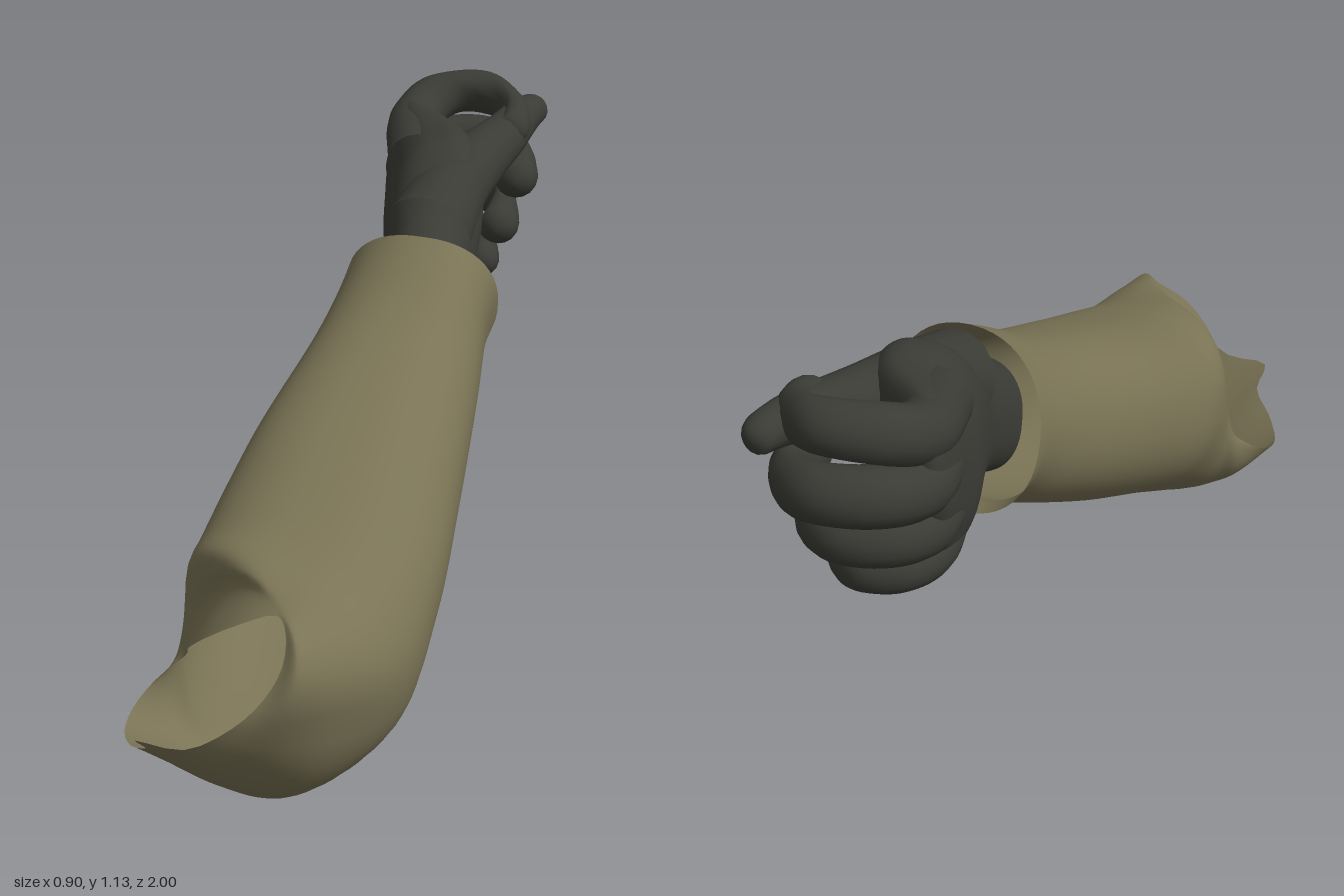
import * as THREE from 'three';
import { mergeVertices } from 'three/addons/utils/BufferGeometryUtils.js';

const V = (p) => new THREE.Vector3(...p);
const AROUND = 48;

// Closed, slightly squared ring through four points: +x side, top, -x side, bottom
function ovalRing(right, top, left, bottom) {
  const [r, t, l, b] = [right, top, left, bottom].map(V);
  const c = r.clone().add(t).add(l).add(b).multiplyScalar(0.25);
  const ring = [];
  for (let j = 0; j < AROUND; j++) {
    const a = (j / AROUND) * Math.PI * 2;
    const cos = Math.cos(a), sin = Math.sin(a);
    const side = (cos >= 0 ? r : l).clone().sub(c).multiplyScalar(Math.abs(cos) ** 0.9);
    const rise = (sin >= 0 ? t : b).clone().sub(c).multiplyScalar(Math.abs(sin) ** 0.9);
    ring.push(c.clone().add(side).add(rise));
  }
  return ring;
}

// Closed free-form ring, starting at the +x side and going over the top
function freeRing(points) {
  const curve = new THREE.CatmullRomCurve3(points.map(V), true);
  return Array.from({ length: AROUND }, (_, j) => curve.getPoint(j / AROUND));
}

// Smooth skin through a row of rings
function loft(rings, steps) {
  const pos = [], index = [];
  const lines = Array.from({ length: AROUND }, (_, j) => new THREE.CatmullRomCurve3(rings.map((r) => r[j])));
  for (let i = 0; i <= steps; i++) {
    for (const line of lines) pos.push(...line.getPoint(i / steps).toArray());
  }
  for (let i = 0; i < steps; i++) {
    for (let j = 0; j < AROUND; j++) {
      const k = (j + 1) % AROUND;
      const a = i * AROUND + j, b = i * AROUND + k;
      index.push(a, a + AROUND, b, b, a + AROUND, b + AROUND);
    }
  }
  const g = new THREE.BufferGeometry();
  g.setAttribute('position', new THREE.Float32BufferAttribute(pos, 3));
  g.setIndex(index);
  g.computeVertexNormals();
  return g;
}

// Curled digit: a tube that tapers and closes in a round tip
function digit(points, radius, tipScale) {
  const curve = new THREE.CatmullRomCurve3(points.map(V));
  const segs = 48, sides = 16;
  const g = new THREE.TubeGeometry(curve, segs, radius, sides, false);
  const pos = g.attributes.position, p = new THREE.Vector3();
  const round = 1 - (radius * tipScale) / curve.getLength();
  for (let i = 0; i <= segs; i++) {
    // crowd the last sections into the tip
    const u = i < 36 ? (i / 36) * round : round + (1 - round) * Math.sin(((i - 36) / 12) * Math.PI / 2);
    const c0 = curve.getPointAt(i / segs), c = curve.getPointAt(Math.min(u, 1));
    const cap = u > round ? Math.sqrt(Math.max(0, 1 - ((u - round) / (1 - round)) ** 2)) : 1;
    const s = (1 + (tipScale - 1) * u) * cap;
    for (let j = 0; j <= sides; j++) {
      const n = i * (sides + 1) + j;
      p.fromBufferAttribute(pos, n).sub(c0).multiplyScalar(s).add(c);
      pos.setXYZ(n, p.x, p.y, p.z);
    }
  }
  g.deleteAttribute('uv');
  g.deleteAttribute('normal');
  const merged = mergeVertices(g, 1e-5);
  merged.computeVertexNormals();
  return merged;
}

export function createModel() {
  const model = new THREE.Group();
  model.name = 'gloved forearm';
  const cloth = new THREE.MeshStandardMaterial({ color: 0x7a7355, side: THREE.DoubleSide });
  cloth.name = 'khaki cloth';
  const leather = new THREE.MeshStandardMaterial({ color: 0x3b3b36 });
  leather.name = 'dark glove';

  const add = (parent, name, geometry, material) => {
    const mesh = new THREE.Mesh(geometry, material);
    mesh.name = name;
    parent.add(mesh);
  };

  // Sleeve: torn elbow opening, bent elbow, forearm, cuff
  const sleeve = [
    freeRing([[-0.2, 0.3, 0.99], [-0.14, 0.36, 0.985], [-0.105, 0.42, 0.965], [-0.1, 0.47, 0.92],
      [-0.12, 0.485, 0.87], [-0.2, 0.45, 0.845], [-0.275, 0.385, 0.78], [-0.32, 0.31, 0.68],
      [-0.335, 0.245, 0.585], [-0.4, 0.19, 0.595], [-0.44, 0.155, 0.65], [-0.45, 0.14, 0.72],
      [-0.425, 0.155, 0.81], [-0.385, 0.19, 0.88], [-0.4, 0.235, 0.93], [-0.3, 0.235, 0.965]]),
    ovalRing([-0.12, 0.28, 0.985], [-0.12, 0.49, 0.85], [-0.338, 0.29, 0.575], [-0.3, 0.05, 0.72]),
    ovalRing([0.0, 0.26, 0.9], [-0.12, 0.5, 0.8], [-0.338, 0.33, 0.55], [-0.2, 0.0, 0.69]),
    ovalRing([0.13, 0.25, 0.74], [-0.11, 0.515, 0.72], [-0.337, 0.36, 0.51], [-0.12, 0.05, 0.56]),
    ovalRing([0.195, 0.35, 0.54], [-0.07, 0.55, 0.59], [-0.315, 0.4, 0.4], [-0.06, 0.175, 0.34]),
    ovalRing([0.24, 0.48, 0.26], [0.0, 0.67, 0.3], [-0.225, 0.52, 0.14], [0.01, 0.3, 0.1]),
    ovalRing([0.28, 0.62, -0.03], [0.09, 0.805, -0.01], [-0.1, 0.65, -0.15], [0.095, 0.46, -0.17]),
    ovalRing([0.3, 0.71, -0.18], [0.14, 0.88, -0.13], [-0.05, 0.73, -0.29], [0.14, 0.55, -0.31]),
    ovalRing([0.325, 0.745, -0.25], [0.15, 0.92, -0.2], [-0.03, 0.755, -0.37], [0.15, 0.57, -0.39]),
  ];
  add(model, 'sleeve', loft(sleeve, 64), cloth);

  // Hand: wrist, palm and closed knuckle end
  const hand = new THREE.Group();
  hand.name = 'hand';
  model.add(hand);
  const end = [0.12, 0.88, -0.87];
  const palm = [
    ovalRing([0.25, 0.7, -0.16], [0.14, 0.8, -0.12], [0.04, 0.69, -0.2], [0.14, 0.58, -0.24]),
    ovalRing([0.26, 0.77, -0.36], [0.16, 0.93, -0.36], [0.06, 0.77, -0.38], [0.16, 0.635, -0.36]),
    ovalRing([0.29, 0.89, -0.5], [0.18, 1.045, -0.5], [0.055, 0.85, -0.5], [0.16, 0.655, -0.5]),
    ovalRing([0.27, 0.91, -0.62], [0.17, 1.065, -0.64], [0.05, 0.86, -0.64], [0.14, 0.65, -0.6]),
    ovalRing([0.19, 0.87, -0.76], [0.12, 1.085, -0.78], [0.055, 0.87, -0.78], [0.13, 0.66, -0.71]),
    ovalRing([0.16, 0.88, -0.83], [0.12, 1.07, -0.85], [0.075, 0.88, -0.85], [0.13, 0.69, -0.76]),
    ovalRing(end, end, end, end),
  ];
  add(hand, 'palm', loft(palm, 48), leather);

  // Curled fingers and thumb
  const digits = {
    indexFinger: [[[0.13, 0.98, -0.62], [0.125, 1.03, -0.83], [0.19, 1.07, -0.905], [0.31, 1.075, -0.9], [0.365, 1.05, -0.82], [0.36, 1.02, -0.7]], 0.072, 0.66],
    middleFinger: [[[0.13, 0.91, -0.62], [0.125, 0.925, -0.86], [0.2, 0.945, -0.935], [0.31, 0.945, -0.935], [0.37, 0.925, -0.87], [0.375, 0.9, -0.69]], 0.07, 0.78],
    ringFinger: [[[0.13, 0.8, -0.6], [0.125, 0.81, -0.82], [0.19, 0.83, -0.9], [0.28, 0.83, -0.9], [0.335, 0.82, -0.84], [0.33, 0.78, -0.67]], 0.068, 0.75],
    littleFinger: [[[0.13, 0.715, -0.58], [0.13, 0.715, -0.77], [0.18, 0.72, -0.84], [0.25, 0.72, -0.845], [0.29, 0.71, -0.8], [0.29, 0.695, -0.67]], 0.06, 0.76],
    thumb: [[[0.16, 0.88, -0.36], [0.21, 0.94, -0.5], [0.28, 0.98, -0.64], [0.345, 1.01, -0.75], [0.39, 1.035, -0.84], [0.43, 1.04, -0.925]], 0.105, 0.36],
  };
  for (const [name, [path, radius, tip]] of Object.entries(digits)) {
    add(hand, name, digit(path, radius, tip), leather);
  }
  return model;
}
